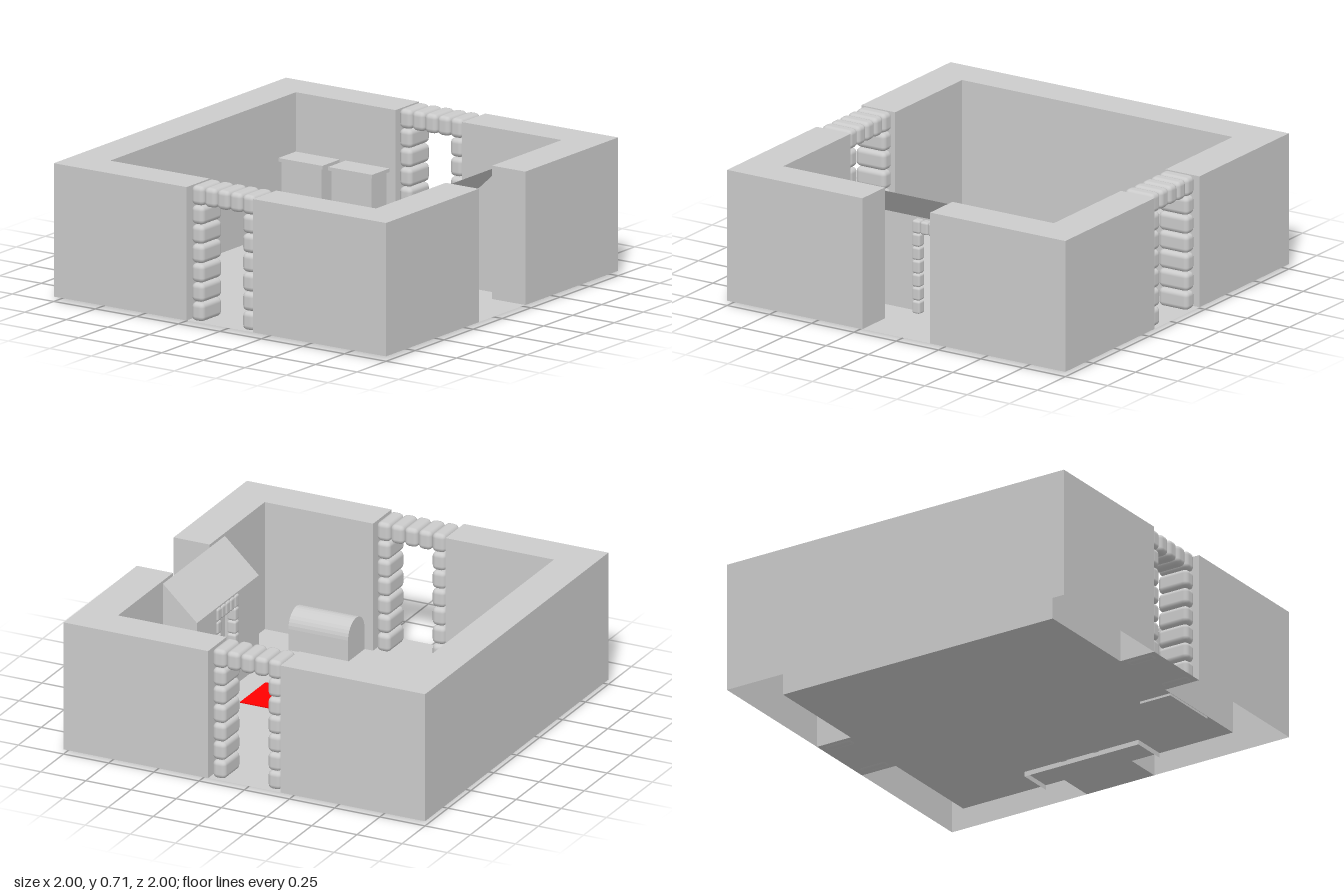
import * as THREE from 'three';
import { RoundedBoxGeometry } from 'three/addons/geometries/RoundedBoxGeometry.js';
import { mergeGeometries } from 'three/addons/utils/BufferGeometryUtils.js';

const FLOOR = 0.025;
const grey = new THREE.MeshStandardMaterial({ color: 0xcccccc, side: THREE.DoubleSide });
const red = new THREE.MeshStandardMaterial({ color: 0xff0000, side: THREE.DoubleSide });

function add(parent, name, geometry, material = grey) {
  const mesh = new THREE.Mesh(geometry, material);
  mesh.name = name;
  parent.add(mesh);
  return mesh;
}

const shapeOf = (points) => new THREE.Shape(points.map(([a, b]) => new THREE.Vector2(a, b)));

// Flat quad from four corners, counter-clockwise
function quad(a, b, c, d) {
  const g = new THREE.BufferGeometry();
  g.setAttribute('position', new THREE.Float32BufferAttribute([a, b, c, a, c, d].flat(), 3));
  g.computeVertexNormals();
  return g;
}

// Flat sheet from a plan of [x, -z] points
function sheet(plan, y) {
  const g = new THREE.ShapeGeometry(shapeOf(plan)).rotateX(-Math.PI / 2).translate(0, y, 0).toNonIndexed();
  g.deleteAttribute('uv');
  return g;
}

// Hollow wall block without a bottom, from a counter-clockwise plan
function wallBlock(plan, y0, y1) {
  const parts = [sheet(plan, y1)];
  plan.forEach(([ax, ay], i) => {
    const [bx, by] = plan[(i + 1) % plan.length];
    parts.push(quad([ax, y0, -ay], [bx, y0, -by], [bx, y1, -by], [ax, y1, -ay]));
  });
  return mergeGeometries(parts);
}

// Two stone columns joined by a row of stones, centred on x and z
function stoneArch(name, { width, rows, cols, base, spring, top, depth, round }) {
  const arch = new THREE.Group();
  arch.name = name;
  const pitch = width / cols, step = (spring - base) / rows;
  const side = new RoundedBoxGeometry(pitch * 0.97, step * 0.97, depth, 2, round);
  const cap = new RoundedBoxGeometry(pitch * 0.97, top - spring, depth, 2, round);
  const edge = (width - pitch) / 2;
  for (const s of [-1, 1]) {
    for (let i = 0; i < rows; i++) add(arch, 'columnStone', side).position.set(s * edge, base + (i + 0.5) * step, 0);
  }
  for (let i = 0; i < cols; i++) add(arch, 'archStone', cap).position.set(-edge + i * pitch, (spring + top) / 2, 0);
  return arch;
}

function cabinet(x) {
  const g = new THREE.Group();
  g.name = 'cabinet';
  add(g, 'cabinetBody', new THREE.BoxGeometry(0.24, 0.37, 0.13)).position.y = FLOOR + 0.185;
  add(g, 'cabinetTop', new THREE.BoxGeometry(0.265, 0.018, 0.15)).position.y = FLOOR + 0.375;
  g.position.set(x, 0, -0.705);
  return g;
}

function fireplace() {
  const g = new THREE.Group();
  g.name = 'fireplace';
  const x0 = 0.612, x1 = 0.8, z0 = -0.31, z1 = 0.365, eave = 0.515, ridge = 0.69, mid = 0.02;
  // Front with its opening, facing the room
  const front = shapeOf([[z0, 0], [z1, 0], [z1, eave], [z0, eave]]);
  front.holes.push(new THREE.Path([[-0.09, FLOOR], [-0.09, 0.465], [0.09, 0.465], [0.09, FLOOR]]
    .map(([z, y]) => new THREE.Vector2(z + mid, y))));
  add(g, 'fireplaceFront', new THREE.ShapeGeometry(front).rotateY(-Math.PI / 2).translate(x0, 0, 0));
  // Ends and sloping hood
  const profile = shapeOf([[x0, 0], [x1, 0], [x1, ridge], [x0, eave]]);
  add(g, 'fireplaceEnd', new THREE.ShapeGeometry(profile).translate(0, 0, z1));
  add(g, 'fireplaceEnd', new THREE.ShapeGeometry(profile).rotateY(Math.PI).scale(-1, 1, 1).translate(0, 0, z0));
  add(g, 'fireplaceHood', quad([x0, eave, z0], [x0, eave, z1], [x1, ridge, z1], [x1, ridge, z0]));
  // Stone surround
  const arch = stoneArch('fireplaceStones',
    { width: 0.24, rows: 6, cols: 5, base: 0.02, spring: 0.44, top: 0.508, depth: 0.05, round: 0.012 });
  arch.rotation.y = Math.PI / 2;
  arch.position.set(0.628, 0, mid);
  g.add(arch);
  return g;
}

// Chest with a rounded lid running along x
function chest() {
  const r = 0.09, h = 0.125;
  const s = new THREE.Shape();
  s.moveTo(-r, 0);
  s.lineTo(r, 0);
  s.lineTo(r, h);
  s.absarc(0, h, r, 0, Math.PI, false);
  s.lineTo(-r, 0);
  const g = new THREE.ExtrudeGeometry(s, { depth: 0.33, bevelEnabled: false, curveSegments: 8 });
  return g.rotateY(Math.PI / 2).translate(0.247, 0.013, 0.708);
}

export function createModel() {
  const model = new THREE.Group();
  model.name = 'room';

  // Floor, reaching out through the three doorways
  const a = 0.2, b = 0.8;
  add(model, 'floor', sheet([[-b, -b], [-a, -b], [-a, -1], [a, -1], [a, -b], [b, -b], [b, -a], [1, -a],
    [1, a], [b, a], [b, b], [a, b], [a, 1], [-a, 1], [-a, b], [-b, b]], FLOOR));

  // Walls: a U on one side, two L corners on the other
  const uPlan = [[-1, -1], [-a, -1], [-a, -b], [-b, -b], [-b, b], [-a, b], [-a, 1], [-1, 1]];
  const lPlan = [[a, -1], [1, -1], [1, -a], [b, -a], [b, -b], [a, -b]];
  const lMirror = lPlan.map(([x, y]) => [x, -y]).reverse();
  for (const plan of [uPlan, lPlan, lMirror]) add(model, 'wall', wallBlock(plan, FLOOR, 0.706));

  // Stone doorways front and back
  for (const s of [-1, 1]) {
    const arch = stoneArch('stoneDoorway',
      { width: 0.382, rows: 6, cols: 5, base: 0.02, spring: 0.613, top: 0.713, depth: 0.175, round: 0.025 });
    arch.position.z = s * 0.895;
    model.add(arch);
  }

  // Furnishings
  for (const x of [-0.655, -0.355]) model.add(cabinet(x));
  model.add(fireplace());
  add(model, 'chest', chest());
  add(model, 'redTableTop', new THREE.BoxGeometry(0.92, 0.006, 0.275), red).position.set(-0.07, 0.12, -0.138);

  return model;
}
